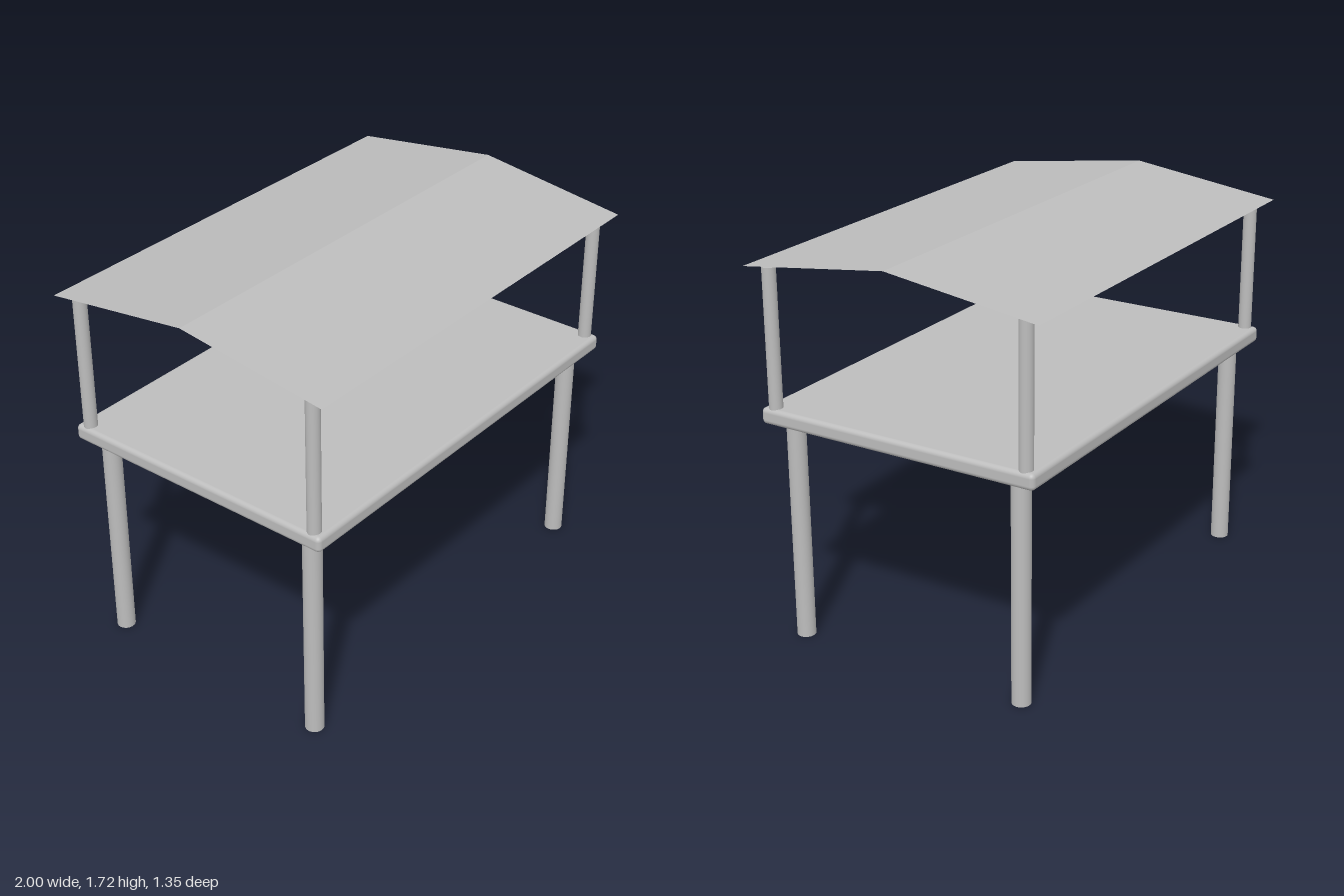
import * as THREE from 'three';
import { RoundedBoxGeometry } from 'three/addons/geometries/RoundedBoxGeometry.js';

export function createModel() {
  const model = new THREE.Group();
  model.name = 'roofedPlatform';
  const grey = new THREE.MeshStandardMaterial({ color: 0xbcbcbc, side: THREE.DoubleSide });
  grey.name = 'plain grey';

  function add(name, geometry, x, y, z) {
    const mesh = new THREE.Mesh(geometry, grey);
    mesh.name = name;
    mesh.position.set(x, y, z);
    model.add(mesh);
  }

  // Deck with softened edges
  const deckBottom = 0.967, deckTop = 1.037;
  add('deck', new RoundedBoxGeometry(1.964, deckTop - deckBottom, 1.286, 4, 0.02),
    0, (deckBottom + deckTop) / 2, 0);

  // Thick legs below the deck, slimmer roof posts above it, one of each per corner
  const legTop = 0.98, postBottom = 1.02, postTop = 1.63;
  const leg = new THREE.CylinderGeometry(0.04, 0.04, legTop, 32);
  const post = new THREE.CylinderGeometry(0.029, 0.029, postTop - postBottom, 32);
  for (const [side, sx] of [['Left', 1], ['Right', -1]]) {
    for (const [end, sz] of [['front', 1], ['back', -1]]) {
      add(`${end}${side}Leg`, leg, sx * 0.893, legTop / 2, sz * 0.536);
      add(`${end}${side}Post`, post, sx * 0.946, (postBottom + postTop) / 2, sz * 0.591);
    }
  }

  // Thin gabled roof: two flat slopes meeting at the ridge
  const halfDepth = 0.677, eave = 1.63, ridge = 1.72;
  const rise = ridge - eave;
  for (const [name, sz] of [['frontRoofSlope', 1], ['backRoofSlope', -1]]) {
    const slope = new THREE.PlaneGeometry(2, Math.hypot(halfDepth, rise));
    slope.rotateX(-Math.PI / 2 + sz * Math.atan2(rise, halfDepth));
    add(name, slope, 0, (eave + ridge) / 2, sz * halfDepth / 2);
  }

  return model;
}
